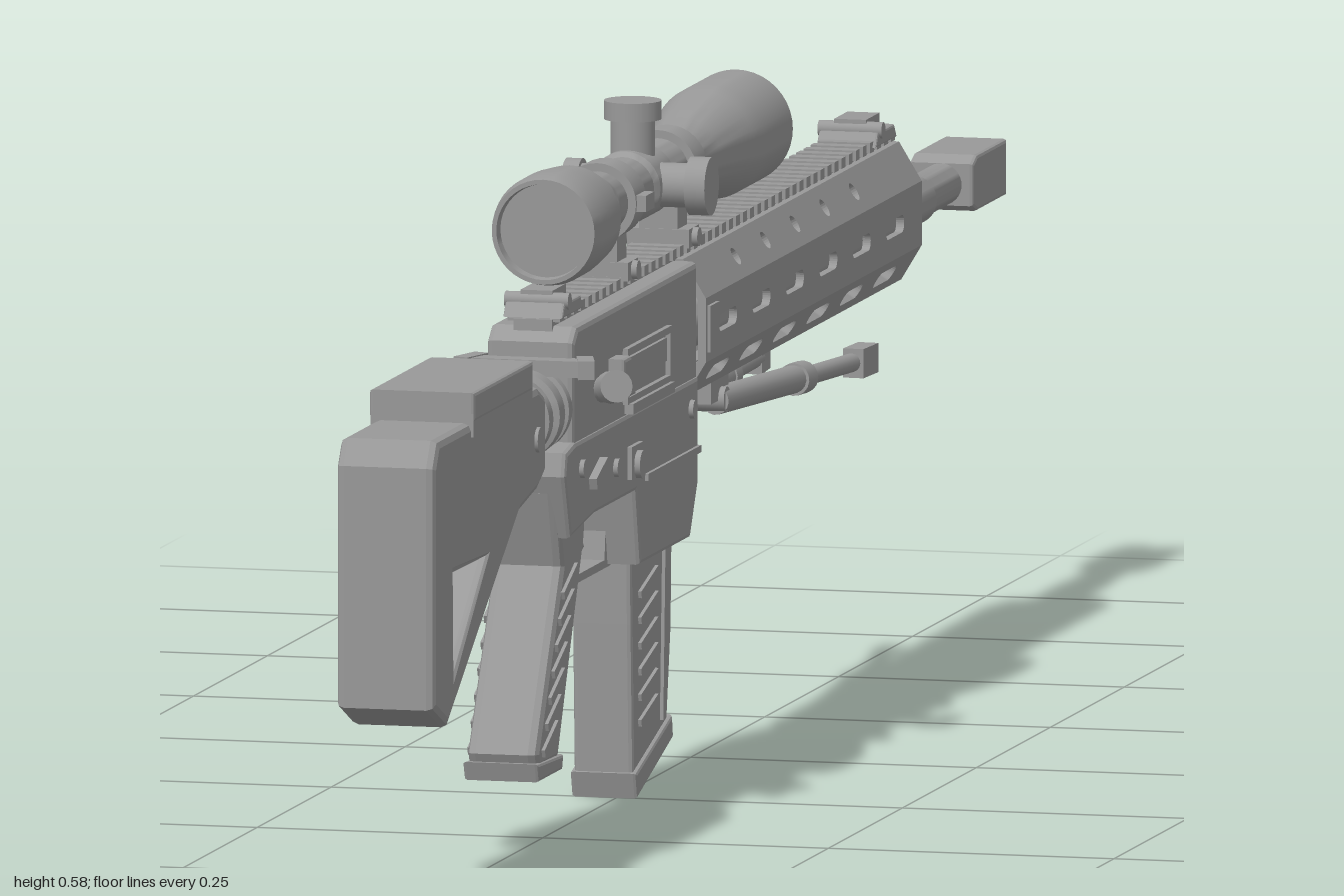
import * as THREE from 'three';
import { toCreasedNormals } from 'three/addons/utils/BufferGeometryUtils.js';

export function createModel() {
  const model = new THREE.Group();
  model.name = 'rifle';
  model.position.x = -0.01;
  const grey = new THREE.MeshStandardMaterial({ color: 0x999999 });
  grey.name = 'grey';

  const add = (name, geo, x = 0, y = 0, z = 0, rx = 0, ry = 0, rz = 0) => {
    const mesh = new THREE.Mesh(geo, grey);
    mesh.name = name;
    mesh.position.set(x, y, z);
    mesh.rotation.set(rx, ry, rz);
    model.add(mesh);
    return mesh;
  };
  const box = (name, w, h, d, x, y, z, rx = 0, ry = 0) =>
    add(name, new THREE.BoxGeometry(w, h, d), x, y, z, rx, ry);
  // Cylinders along each axis
  const rodX = (name, r, len, x, y, z) => add(name, new THREE.CylinderGeometry(r, r, len, 24), x, y, z, 0, 0, Math.PI / 2);
  const rodY = (name, r, len, x, y, z) => add(name, new THREE.CylinderGeometry(r, r, len, 24), x, y, z);
  // Turned part along z from [radius, z] points, z increasing
  const turned = (name, pts, y, segs = 32) => {
    const g = new THREE.LatheGeometry(pts.map(p => new THREE.Vector2(...p)), segs);
    g.rotateX(Math.PI / 2);
    add(name, toCreasedNormals(g, 0.5), 0, y, 0);
  };
  // Side outline of [z, y] points, extruded across x with a bevel
  const side = (name, pts, width, bevel = 0.004, holes = [], x = 0) => {
    const vec = p => p.map(q => new THREE.Vector2(...q));
    const shape = new THREE.Shape(vec(pts));
    holes.forEach(h => shape.holes.push(new THREE.Path(vec(h))));
    const depth = width - 2 * bevel;
    const g = new THREE.ExtrudeGeometry(shape, {
      depth, bevelEnabled: true, bevelSize: bevel, bevelThickness: bevel, bevelOffset: -bevel, bevelSegments: 2,
    });
    g.translate(0, 0, -depth / 2);
    g.rotateY(-Math.PI / 2);
    add(name, g, x);
  };
  // Rod between two points
  const rod = (name, a, b, r) => {
    const p = new THREE.Vector3(...a), q = new THREE.Vector3(...b);
    const dir = q.clone().sub(p);
    const m = add(name, new THREE.CylinderGeometry(r, r, dir.length(), 16));
    m.position.copy(p).add(q).multiplyScalar(0.5);
    m.quaternion.setFromUnitVectors(new THREE.Vector3(0, 1, 0), dir.normalize());
  };

  // Stock
  side('stock', [[0.995, 0.385], [0.98, 0.407], [0.64, 0.407], [0.613, 0.395], [0.613, 0.33], [0.64, 0.318],
    [0.70, 0.308], [0.945, 0.157], [0.995, 0.178]], 0.086, 0.007, [[[0.925, 0.285], [0.815, 0.285], [0.925, 0.2]]]);
  side('cheekRest', [[0.87, 0.408], [0.87, 0.433], [0.67, 0.433], [0.67, 0.408]], 0.092, 0.003);
  box('cheekRestSkirt', 0.09, 0.02, 0.2, 0, 0.405, 0.77);
  for (const s of [1, -1]) rodX('stockBolt', 0.011, 0.008, s * 0.042, 0.362, 0.645);
  box('stockLever', 0.02, 0.01, 0.07, 0, 0.3, 0.655, 0.45);

  // Stock tube with collars
  turned('stockTube', [[0, 0.49], [0.037, 0.49], [0.037, 0.515], [0.03, 0.517], [0.03, 0.53], [0.038, 0.532], [0.038, 0.55],
    [0.031, 0.552], [0.031, 0.562], [0.036, 0.564], [0.036, 0.578], [0.028, 0.58], [0.028, 0.63], [0, 0.63]], 0.368);

  // Receiver and magazine well
  side('upperReceiver', [[0.505, 0.325], [0.505, 0.425], [0.49, 0.437], [0.085, 0.437], [0.085, 0.31], [0.48, 0.31]], 0.076, 0.005);
  side('lowerReceiver', [[0.54, 0.315], [0.535, 0.335], [0.505, 0.34], [0.088, 0.34], [0.088, 0.25], [0.115, 0.205],
    [0.285, 0.205], [0.3, 0.27], [0.44, 0.27], [0.52, 0.26]], 0.08, 0.004);
  for (const s of [1, -1]) {
    box('magazineWellLip', 0.006, 0.006, 0.18, s * 0.04, 0.278, 0.18);
    for (const [z, y] of [[0.485, 0.315], [0.115, 0.315], [0.37, 0.3]]) rodX('pin', 0.008, 0.006, s * 0.041, y, z);
    box('selector', 0.008, 0.01, 0.04, s * 0.043, 0.305, 0.44, 0.35);
  }
  // Right-hand port, bolt and assist
  for (const y of [0.352, 0.394]) box('portFrame', 0.007, 0.006, 0.15, 0.039, y, 0.262);
  for (const z of [0.19, 0.335]) box('portFrame', 0.007, 0.044, 0.006, 0.039, 0.373, z);
  box('portCover', 0.006, 0.02, 0.125, 0.038, 0.378, 0.262);
  box('portHinge', 0.012, 0.009, 0.14, 0.04, 0.345, 0.262);
  side('caseDeflector', [[0.345, 0.36], [0.36, 0.395], [0.385, 0.395], [0.385, 0.36]], 0.02, 0.003, [], 0.042);
  rod('forwardAssist', [0.032, 0.37, 0.4], [0.06, 0.382, 0.455], 0.011);
  rod('forwardAssistKnob', [0.056, 0.38, 0.447], [0.066, 0.384, 0.467], 0.014);
  rodX('magazineRelease', 0.012, 0.014, 0.042, 0.295, 0.31);
  box('magazineReleaseFence', 0.006, 0.028, 0.04, 0.041, 0.298, 0.31);
  // Left-hand bolt catch
  box('boltCatch', 0.012, 0.05, 0.02, -0.043, 0.345, 0.29);
  box('boltCatchPaddle', 0.016, 0.02, 0.028, -0.043, 0.372, 0.29);
  // Charging handle
  box('chargingHandle', 0.112, 0.014, 0.02, 0, 0.405, 0.513);
  for (const s of [1, -1]) box('chargingHandleLatch', 0.014, 0.016, 0.034, s * 0.05, 0.405, 0.51, 0, s * 0.3);

  // Grip with ribs
  side('grip', [[0.535, 0.3], [0.515, 0.235], [0.602, 0.085], [0.595, 0.07], [0.525, 0.07], [0.435, 0.25], [0.43, 0.3]], 0.062, 0.008);
  side('gripBase', [[0.605, 0.078], [0.6, 0.062], [0.52, 0.062], [0.517, 0.075]], 0.066, 0.003);
  for (const s of [1, -1]) for (let i = 0; i < 7; i++)
    box('gripRib', 0.006, 0.007, 0.05, s * 0.031, 0.22 - i * 0.021, 0.495 + i * 0.011, 0.4);

  // Trigger and guard
  box('triggerGuard', 0.022, 0.007, 0.18, 0, 0.206, 0.365);
  box('triggerGuardFront', 0.022, 0.07, 0.008, 0, 0.238, 0.287, -0.15);
  add('trigger', new THREE.TubeGeometry(new THREE.QuadraticBezierCurve3(new THREE.Vector3(0, 0.275, 0.36),
    new THREE.Vector3(0, 0.245, 0.375), new THREE.Vector3(0, 0.228, 0.345)), 8, 0.006, 8));

  // Magazine with ribs
  side('magazine', [[0.265, 0.23], [0.262, 0.15], [0.256, 0.02], [0.14, 0.052], [0.126, 0.13], [0.122, 0.23]], 0.052, 0.004);
  side('magazineFloor', [[0.258, 0.022], [0.252, 0], [0.13, 0.036], [0.134, 0.056]], 0.058, 0.003);
  for (const s of [1, -1]) {
    for (let i = 0; i < 6; i++) box('magazineRib', 0.006, 0.006, 0.06, s * 0.026, 0.18 - i * 0.022, 0.21, 0.25);
    box('magazineSpine', 0.006, 0.15, 0.008, s * 0.026, 0.13, 0.158, -0.05);
  }

  // Hollow handguard: slotted panels around an eight-sided section
  const section = [[0.024, 0.438], [0.044, 0.405], [0.044, 0.35], [0.026, 0.32], [-0.026, 0.32], [-0.044, 0.35], [-0.044, 0.405], [-0.024, 0.438]];
  const z0 = -0.65, z1 = 0.08;
  section.forEach((a, i) => {
    const b = section[(i + 1) % 8];
    const edge = new THREE.Vector3(b[0] - a[0], b[1] - a[1], 0), len = edge.length();
    edge.normalize();
    const shape = new THREE.Shape([[z0, 0], [z1, 0], [z1, len], [z0, len]].map(p => new THREE.Vector2(...p)));
    const wide = i !== 0 && i !== 6;
    if (i !== 7) for (let k = 0; k < (wide ? 6 : 5); k++) {
      const half = wide ? 0.023 : 0.0001, r = wide ? 0.0075 : 0.008;
      const c = wide ? 0.005 - k * 0.113 : -0.06 - k * 0.1;
      const slot = new THREE.Path();
      slot.absarc(c + half, len / 2, r, -Math.PI / 2, Math.PI / 2, false);
      slot.absarc(c - half, len / 2, r, Math.PI / 2, Math.PI * 1.5, false);
      slot.closePath();
      shape.holes.push(slot);
    }
    const g = new THREE.ExtrudeGeometry(shape, { depth: 0.007, bevelEnabled: false, curveSegments: 6 });
    g.translate(0, 0, -0.007);
    const axis = new THREE.Vector3(0, 0, 1);
    g.applyMatrix4(new THREE.Matrix4().makeBasis(axis, edge, axis.clone().cross(edge)).setPosition(a[0], a[1], 0));
    add('handguardPanel', g);
  });
  for (const s of [1, -1]) box('handguardClamp', 0.006, 0.04, 0.03, s * 0.044, 0.378, 0.06);

  // Top rail with teeth
  box('railBase', 0.034, 0.01, 1.14, 0, 0.438, -0.075);
  for (let i = 0; i < 48; i++) box('railTooth', 0.046, 0.009, 0.013, 0, 0.445, 0.485 - i * 0.0238);

  // Folded sights
  for (const z of [0.46, -0.6]) {
    side('sightBase', [[z + 0.036, 0.444], [z + 0.028, 0.456], [z - 0.028, 0.456], [z - 0.036, 0.444]], 0.052, 0.002);
    box('sightLeaf', 0.028, 0.01, 0.045, 0, 0.461, z);
    rodX('sightHinge', 0.007, 0.056, 0, 0.457, z + 0.018);
  }

  // Barrel and muzzle block
  turned('barrel', [[0, -0.9], [0.018, -0.9], [0.018, -0.8], [0.021, -0.79], [0.021, 0.09], [0, 0.09]], 0.368);
  side('muzzleBlock', [[-0.885, 0.35], [-0.9, 0.344], [-1, 0.344], [-1, 0.392], [-0.9, 0.392], [-0.885, 0.386]], 0.056, 0.003);
  add('bore', new THREE.TorusGeometry(0.008, 0.0015, 8, 20), 0, 0.368, -0.9985);

  // Scope body, rings and turrets
  const sy = 0.5125;
  turned('scope', [[0, -0.18], [0.043, -0.18], [0.045, -0.195], [0.049, -0.195], [0.049, -0.1], [0.046, -0.08], [0.034, -0.01],
    [0.027, 0.03], [0.027, 0.3], [0.033, 0.325], [0.042, 0.36], [0.042, 0.368], [0.045, 0.37], [0.048, 0.41],
    [0.048, 0.445], [0.045, 0.46], [0.041, 0.46], [0.04, 0.45], [0, 0.45]], sy, 40);
  for (const z of [0.26, 0.055]) {
    turned('scopeRing', [[0.026, z - 0.017], [0.034, z - 0.017], [0.034, z + 0.017], [0.026, z + 0.017]], sy);
    box('scopeRingFoot', 0.034, 0.035, 0.032, 0, 0.472, z);
    box('scopeRingClamp', 0.054, 0.016, 0.034, 0, 0.454, z);
    for (const s of [1, -1]) {
      box('scopeRingLug', 0.012, 0.014, 0.028, s * 0.036, sy, z);
      rodX('scopeRingNut', 0.008, 0.006, s * 0.029, 0.454, z);
    }
  }
  const tz = 0.157;
  turned('turretHousing', [[0.026, tz - 0.034], [0.031, tz - 0.026], [0.031, tz + 0.026], [0.026, tz + 0.034]], sy);
  rodY('topTurretStem', 0.019, 0.06, 0, 0.54, tz);
  rodY('topTurret', 0.0245, 0.016, 0, 0.576, tz);
  rodX('rightTurretStem', 0.019, 0.05, 0.03, sy, tz);
  rodX('rightTurret', 0.025, 0.018, 0.06, sy, tz);
  rodX('leftTurretStem', 0.016, 0.045, -0.028, sy, tz);
  rodX('leftTurret', 0.02, 0.014, -0.051, sy, tz);

  // Folded bipod
  box('bipodMount', 0.04, 0.024, 0.06, 0, 0.31, -0.06);
  rodX('bipodHinge', 0.011, 0.05, 0, 0.298, -0.065);
  for (const s of [1, -1]) {
    rod('bipodLeg', [s * 0.016, 0.297, -0.06], [s * 0.032, 0.287, -0.28], 0.012);
    rod('bipodLegLower', [s * 0.032, 0.287, -0.27], [s * 0.044, 0.281, -0.43], 0.008);
    rod('bipodCollar', [s * 0.0315, 0.2875, -0.265], [s * 0.033, 0.2865, -0.29], 0.014);
    box('bipodFoot', 0.018, 0.025, 0.04, s * 0.046, 0.281, -0.436, 0, -s * 0.07);
  }
  return model;
}
